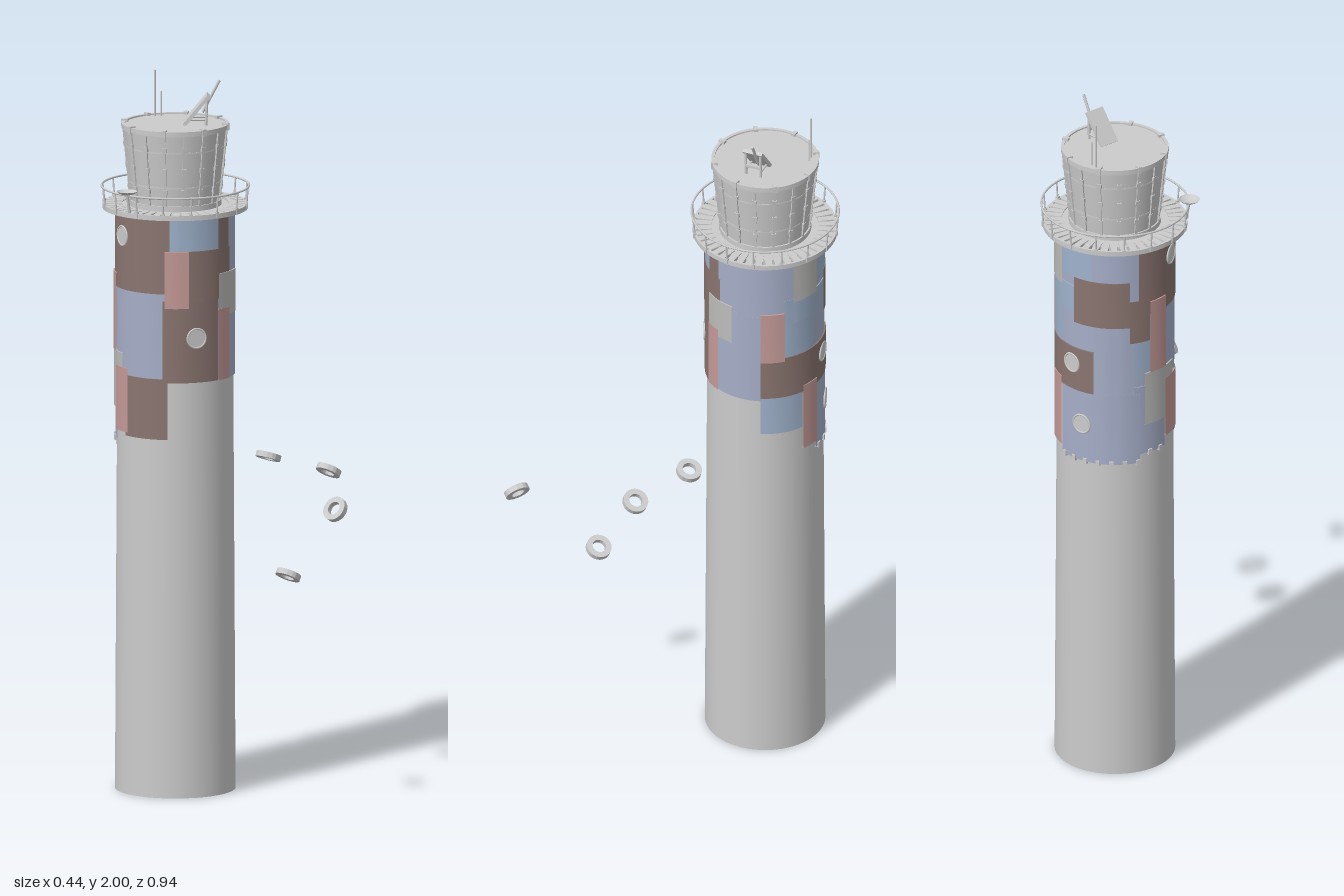
import * as THREE from 'three';
import { toCreasedNormals } from 'three/addons/utils/BufferGeometryUtils.js';

const material = (color) => new THREE.MeshStandardMaterial({ color, side: THREE.DoubleSide });
const grey = material(0xcccccc);
const paint = {
  blue: material(0x9fb2cc), lavender: material(0xa6aec8), brown: material(0x8a7570),
  pink: material(0xc49a97), grey: material(0xbcbcba),
};
const rad = THREE.MathUtils.degToRad;

function add(parent, name, geometry, mat = grey, x = 0, y = 0, z = 0) {
  const mesh = new THREE.Mesh(geometry, mat);
  mesh.name = name;
  mesh.position.set(x, y, z);
  parent.add(mesh);
  return mesh;
}

// Ring, or part of one, with a rectangular section; angle 0 is the front
function band(r0, r1, y0, y1, from = 0, to = 360) {
  const profile = [[r0, y0], [r1, y0], [r1, y1], [r0, y1], [r0, y0]].map((p) => new THREE.Vector2(...p));
  const steps = Math.max(3, Math.ceil((to - from) / 6));
  return toCreasedNormals(new THREE.LatheGeometry(profile, steps, rad(from), rad(to - from)), 0.6);
}

// Straight round bar between two points
function bar(parent, name, a, b, r) {
  const from = new THREE.Vector3(...a), to = new THREE.Vector3(...b);
  const dir = to.clone().sub(from);
  const mesh = add(parent, name, new THREE.CylinderGeometry(r, r, dir.length(), 8));
  mesh.position.copy(from).addScaledVector(dir, 0.5);
  mesh.quaternion.setFromUnitVectors(new THREE.Vector3(0, 1, 0), dir.normalize());
}

// Pivot turned so that its +z points outward at an angle
function spoke(parent, degrees, name) {
  const pivot = new THREE.Group();
  pivot.name = name;
  pivot.rotation.y = rad(degrees);
  parent.add(pivot);
  return pivot;
}

function cladding(tower) {
  add(tower, 'claddingBase', band(0.15, 0.1635, 1.17, 1.63), paint.lavender);
  // From angle, to angle, bottom, top, colour
  const plates = [
    [-92, -47, 1.54, 1.63, 'blue'], [-47, -4, 1.54, 1.63, 'blue'], [-4, 12, 1.5, 1.63, 'brown'],
    [12, 90, 1.45, 1.63, 'lavender'], [90, 120, 1.49, 1.63, 'grey'], [120, 158, 1.53, 1.63, 'blue'],
    [158, 204, 1.47, 1.63, 'lavender'], [138, 195, 1.39, 1.53, 'brown'], [81, 138, 1.42, 1.5, 'blue'],
    [58, 118, 1.31, 1.43, 'blue'], [12, 58, 1.17, 1.45, 'lavender'], [58, 160, 1.18, 1.31, 'brown'],
    [58, 81, 1.3, 1.46, 'pink'], [58, 101, 1.06, 1.18, 'blue'], [120, 205, 0.965, 1.18, 'lavender'],
    [101, 120, 0.99, 1.2, 'pink'], [160, 200, 1.18, 1.39, 'lavender'], [195, 216, 1.34, 1.47, 'brown'],
    [180, 216, 1.22, 1.35, 'blue'], [204, 305, 1.42, 1.63, 'brown'], [216, 236, 1.24, 1.46, 'pink'],
    [236, 300, 1.22, 1.42, 'lavender'], [200, 236, 0.99, 1.2, 'lavender'], [210, 251, 1.08, 1.24, 'grey'],
    [236, 259, 1.02, 1.2, 'pink'], [255, 303, 1.01, 1.18, 'brown'], [-60, -37, 1.38, 1.54, 'pink'],
    [-47, 14, 1.4, 1.54, 'brown'], [-62, -5, 1.17, 1.4, 'brown'], [-4, 29, 1.35, 1.47, 'grey'],
    [-5, 12, 1.17, 1.37, 'pink'],
  ];
  const lift = { blue: 0, lavender: 0, brown: 0.0015, grey: 0.003, pink: 0.0045 };
  plates.forEach(([from, to, y0, y1, color], i) => {
    const r = 0.1655 + lift[color] + (i % 3) * 0.0004;
    add(tower, 'claddingPlate', band(0.157, r, y0, y1, from, to), paint[color]);
  });
  // Portholes
  for (const [angle, y] of [[-29, 1.295], [135, 1.26], [147, 1.08], [249, 1.57]]) {
    const pivot = spoke(tower, angle, 'porthole');
    add(pivot, 'portholeGlass', new THREE.CylinderGeometry(0.026, 0.026, 0.02, 24), grey, 0, y, 0.158).rotation.x = Math.PI / 2;
    add(pivot, 'portholeFrame', new THREE.TorusGeometry(0.027, 0.003, 8, 24), grey, 0, y, 0.167);
  }
  // Small clips along the lower edge at the back
  for (let a = 125; a < 235; a += 13) {
    add(spoke(tower, a, 'edgeClip'), 'clip', new THREE.BoxGeometry(0.012, 0.016, 0.008), grey, 0, a < 205 ? 0.967 : 0.992, 0.166);
  }
}

function gallery(tower) {
  add(tower, 'galleryFloor', band(0.1, 0.168, 1.63, 1.645));
  add(tower, 'galleryRim', band(0.194, 0.201, 1.634, 1.648));
  const planks = 44;
  for (let i = 0; i < planks; i++) {
    const pivot = spoke(tower, (i * 360) / planks, 'plank');
    add(pivot, 'plankBoard', new THREE.BoxGeometry(0.019, 0.01, 0.05), grey, 0, 1.643, 0.173);
  }
  for (let i = 0; i < 16; i++) {
    const pivot = spoke(tower, i * 22.5 + 8, 'railPost');
    bar(pivot, 'post', [0, 1.635, 0.199], [0, 1.697, 0.204], 0.0025);
    add(pivot, 'postFoot', new THREE.BoxGeometry(0.009, 0.016, 0.008), grey, 0, 1.645, 0.2);
  }
  add(tower, 'handrail', new THREE.TorusGeometry(0.204, 0.003, 8, 72), grey, 0, 1.697, 0).rotation.x = Math.PI / 2;
  // Dish on the rail
  const bowl = [[0, 0], [0.014, 0.002], [0.024, 0.006], [0.029, 0.011]].map((p) => new THREE.Vector2(...p));
  add(tower, 'dish', new THREE.LatheGeometry(bowl, 24), grey, -0.206, 1.699, 0);
  bar(tower, 'dishArm', [-0.195, 1.645, 0], [-0.206, 1.7, 0], 0.004);
}

function cabin(tower) {
  const y0 = 1.645, y1 = 1.87, r0 = 0.122, r1 = 0.145;
  const slope = Math.atan2(r1 - r0, y1 - y0);
  const radiusAt = (y) => r0 + ((r1 - r0) * (y - y0)) / (y1 - y0);
  add(tower, 'cabinWall', new THREE.CylinderGeometry(r1, r0, y1 - y0, 48), grey, 0, (y0 + y1) / 2, 0);
  add(tower, 'roofRim', band(0.14, 0.149, 1.86, 1.874));
  add(tower, 'cabinSill', band(0.115, 0.128, 1.645, 1.66));
  for (const y of [1.71, 1.81]) add(tower, 'cabinSeam', band(0.115, radiusAt(y) + 0.001, y, y + 0.004));
  // Sloping wall ribs, with clamps on the rim at every second one
  for (let i = 0; i < 16; i++) {
    const pivot = spoke(tower, i * 22.5 + 28, 'wallRib');
    const rib = add(pivot, 'rib', new THREE.BoxGeometry(0.007, y1 - y0, 0.006), grey, 0, (y0 + y1) / 2, (r0 + r1) / 2 + 0.001);
    rib.rotation.x = slope;
    for (const y of [1.7, 1.76, 1.82]) {
      add(pivot, 'ribBracket', new THREE.BoxGeometry(0.012, 0.014, 0.009), grey, 0, y, radiusAt(y) + 0.001).rotation.x = slope;
    }
    if (i % 2 === 0) add(pivot, 'rimClamp', new THREE.BoxGeometry(0.012, 0.02, 0.018), grey, 0, 1.868, 0.143);
  }
}

function roofEquipment(tower) {
  // Leaning panel on a frame, tipped outward to the front
  const pivot = spoke(tower, 40, 'leaningPanel');
  const panel = add(pivot, 'panel', new THREE.BoxGeometry(0.057, 0.105, 0.01), grey, 0, 1.91, 0.058);
  panel.rotation.x = rad(40);
  for (const x of [-0.022, 0.022]) {
    bar(pivot, 'panelStrut', [x, 1.87, 0.085], [x, 1.945, 0.088], 0.004);
    bar(pivot, 'panelBrace', [x, 1.885, 0.04], [x, 1.885, 0.088], 0.003);
  }
  add(pivot, 'panelCrossbar', new THREE.BoxGeometry(0.05, 0.008, 0.008), grey, 0, 1.9, 0.087);
  bar(pivot, 'panelRod', [0.012, 1.9, 0.075], [0.012, 1.99, 0.122], 0.004);
  // Upright aerials
  bar(tower, 'tallAerial', [0.051, 1.87, -0.117], [0.051, 2, -0.117], 0.003);
  bar(tower, 'shortAerial', [0.063, 1.87, -0.104], [0.063, 1.94, -0.104], 0.002);
}

export function createModel() {
  const model = new THREE.Group();
  model.name = 'towerWithRings';
  const tower = new THREE.Group();
  tower.name = 'tower';
  tower.position.set(0.012, 0, -0.266);
  model.add(tower);

  add(tower, 'shaft', new THREE.CylinderGeometry(0.158, 0.167, 1.635, 64), grey, 0, 0.8175, 0);
  cladding(tower);
  gallery(tower);
  cabin(tower);
  roofEquipment(tower);

  // Floating rings: position and tilt
  const rings = [
    [0.085, 0.957, 0.01, -22], [0.122, 0.935, 0.197, -33], [-0.068, 0.67, 0.212, -30], [-0.13, 0.892, 0.435, 57],
  ];
  for (const [x, y, z, tilt] of rings) {
    add(model, 'floatingRing', band(0.019, 0.035, -0.008, 0.008), grey, x, y, z).rotation.z = rad(tilt);
  }
  return model;
}
